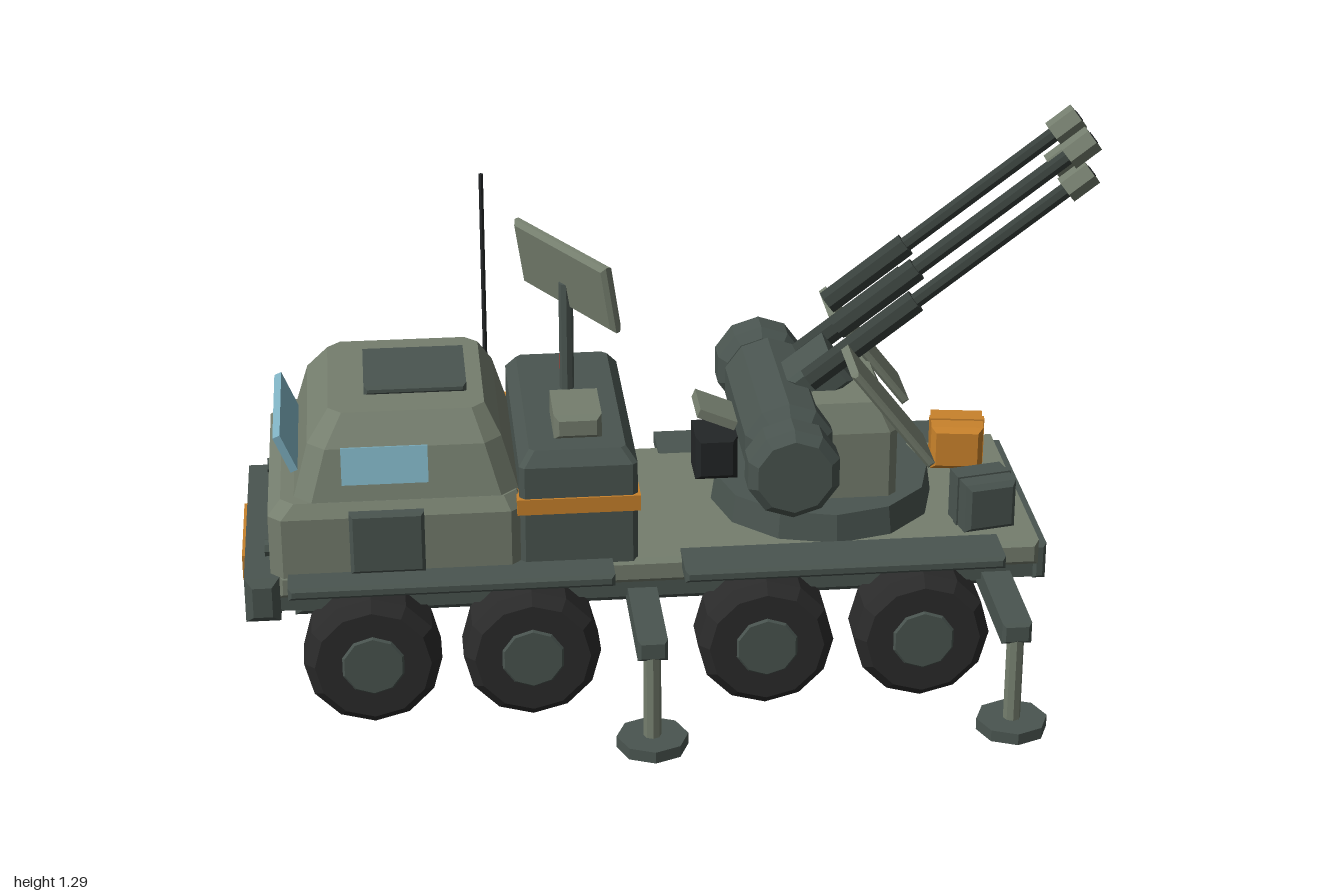
import * as THREE from 'three';

const mat = (name, color) => {
  const m = new THREE.MeshStandardMaterial({ color });
  m.name = name;
  return m;
};

export function createModel() {
  const olive = mat('olive', 0x757e6e), dark = mat('darkGreen', 0x4a5550), gun = mat('gunMetal', 0x38403c);
  const rubber = mat('rubber', 0x2b2b2b), orange = mat('orange', 0xc9822b), glass = mat('glass', 0x7fb2c2);
  const red = mat('red', 0xbb3a30), black = mat('black', 0x232627);
  const model = new THREE.Group();

  // ---- helpers ----
  const add = (name, geo, material, x = 0, y = 0, z = 0, parent = model) => {
    const m = new THREE.Mesh(geo, material);
    m.name = name;
    m.position.set(x, y, z);
    parent.add(m);
    return m;
  };
  const flat = (g) => {
    const f = g.index ? g.toNonIndexed() : g;
    f.computeVertexNormals();
    return f;
  };
  const box = (w, h, d) => new THREE.BoxGeometry(w, h, d);
  const cyl = (r, h, n = 8, r2 = r) => flat(new THREE.CylinderGeometry(r2, r, h, n));
  // box with chamfered edges
  const cbox = (w, h, d, c = 0.012) => {
    const a = w / 2 - c, b = h / 2 - c;
    const s = new THREE.Shape([[-a, -b], [a, -b], [a, b], [-a, b]].map(p => new THREE.Vector2(...p)));
    const g = new THREE.ExtrudeGeometry(s, { depth: d - 2 * c, bevelEnabled: true, bevelSize: c, bevelThickness: c, bevelSegments: 1 });
    return g.translate(0, 0, c - d / 2);
  };
  // thick disc with chamfered rims, axis along z
  const drum = (r, w, c, n) => {
    const p = [[0, -w / 2], [r - c, -w / 2], [r, c - w / 2], [r, w / 2 - c], [r - c, w / 2], [0, w / 2]];
    return flat(new THREE.LatheGeometry(p.map(q => new THREE.Vector2(...q)), n)).rotateX(Math.PI / 2);
  };
  // stack of corner-cut rectangles, each [y, x0, x1, halfZ, cut]
  const loft = (sections) => {
    const rings = sections.map(([y, x0, x1, z, c]) => [
      [x1, y, z - c], [x1, y, c - z], [x1 - c, y, -z], [x0 + c, y, -z],
      [x0, y, c - z], [x0, y, z - c], [x0 + c, y, z], [x1 - c, y, z]]);
    const v = [], last = rings[rings.length - 1];
    for (let k = 0; k + 1 < rings.length; k++) {
      for (let i = 0; i < 8; i++) {
        const j = (i + 1) % 8, a = rings[k], b = rings[k + 1];
        v.push(...a[i], ...a[j], ...b[j], ...a[i], ...b[j], ...b[i]);
      }
    }
    for (let i = 1; i < 7; i++) {
      v.push(...last[0], ...last[i], ...last[i + 1]);
      v.push(...rings[0][0], ...rings[0][i + 1], ...rings[0][i]);
    }
    const g = new THREE.BufferGeometry();
    g.setAttribute('position', new THREE.Float32BufferAttribute(v, 3));
    g.computeVertexNormals();
    return g;
  };

  // ---- chassis ----
  add('chassisFrame', cbox(1.68, 0.07, 0.47, 0.015), dark, -0.04, 0.25, 0);
  add('hull', box(1.78, 0.075, 0.57), dark, -0.05, 0.2975, 0);
  add('deck', cbox(1.76, 0.062, 0.61), olive, -0.035, 0.329, 0);
  add('rearPlate', cbox(0.03, 0.09, 0.585, 0.008), dark, 0.85, 0.302, 0);
  add('frontBumper', cbox(0.08, 0.11, 0.64, 0.018), dark, -0.95, 0.3, 0);
  add('frontPlate', box(0.009, 0.062, 0.28), orange, -0.9945, 0.3, 0);

  // ---- wheels and axles ----
  for (const x of [-0.705, -0.34, 0.2, 0.565]) {
    add('axle', cyl(0.028, 0.5).rotateX(Math.PI / 2), dark, x, 0.18, 0);
    for (const s of [1, -1]) {
      add('tyre', drum(0.158, 0.145, 0.025, 12), rubber, x, 0.158, s * 0.307);
      add('hub', drum(0.077, 0.155, 0.008, 10), dark, x, 0.158, s * 0.307);
    }
  }

  for (const s of [1, -1]) {
    // ---- fenders ----
    add('frontFender', cbox(0.74, 0.03, 0.13, 0.008), dark, -0.52, 0.35, s * 0.322);
    add('rearFender', cbox(0.74, 0.03, 0.13, 0.008), dark, 0.38, 0.35, s * 0.322);
    // ---- outriggers ----
    for (const x of [-0.08, 0.748]) {
      add('outriggerBeam', cbox(0.068, 0.052, 0.34, 0.008), dark, x, 0.252, s * 0.378);
      add('outriggerLeg', cyl(0.02, 0.22), olive, x, 0.13, s * 0.528);
      add('outriggerFoot', cyl(0.082, 0.028), dark, x, 0.014, s * 0.528);
    }
    // ---- lights, doors and side windows ----
    add('tailLight', box(0.014, 0.032, 0.028), red, 0.866, 0.31, s * 0.235);
    add('headlight', cyl(0.02, 0.02).rotateZ(Math.PI / 2), dark, -0.932, 0.39, s * 0.22);
    add('door', cbox(0.17, 0.15, 0.03, 0.008), dark, -0.662, 0.44, s * 0.312);
    add('sideWindow', box(0.196, 0.085, 0.009), glass, -0.662, 0.612, s * 0.273).rotation.x = -s * 0.245;
  }

  // ---- cab ----
  add('cabBase', loft([[0.355, -0.93, -0.35, 0.31, 0.03], [0.5, -0.93, -0.35, 0.31, 0.03], [0.532, -0.9, -0.365, 0.29, 0.03]]), olive);
  add('cabTop', loft([[0.53, -0.87, -0.36, 0.29, 0.04], [0.65, -0.835, -0.395, 0.26, 0.04], [0.715, -0.785, -0.43, 0.205, 0.03]]), olive);
  add('roofHatch', cbox(0.235, 0.024, 0.23, 0.008), dark, -0.585, 0.724, 0);
  add('windscreen', box(0.018, 0.095, 0.36), glass, -0.886, 0.606, 0).rotation.z = 0.4;
  add('antenna', cyl(0.006, 0.465, 6), black, -0.41, 0.8825, -0.235);

  // ---- equipment housing ----
  add('equipmentBox', loft([[0.355, -0.36, -0.09, 0.3, 0.012], [0.6, -0.36, -0.09, 0.3, 0.012], [0.633, -0.335, -0.115, 0.275, 0.012]]), dark);
  add('orangeBand', box(0.282, 0.038, 0.61), orange, -0.225, 0.505, 0);
  add('roofUnit', cbox(0.11, 0.06, 0.165), olive, -0.22, 0.66, 0.14);
  add('beacon', cyl(0.016, 0.04), red, -0.22, 0.65, -0.185);

  // ---- radar ----
  add('radarMast', cyl(0.017, 0.28), dark, -0.225, 0.76, -0.07);
  const radar = new THREE.Group();
  radar.name = 'radar';
  radar.position.set(-0.222, 0.92, -0.07);
  radar.rotation.set(-0.17, 2.08, 0, 'YXZ');
  model.add(radar);
  add('radarPanel', cbox(0.385, 0.168, 0.03, 0.01), olive, 0, 0, 0, radar);
  add('radarFeed', cbox(0.115, 0.045, 0.035, 0.008), dark, 0, 0.005, 0.025, radar);

  // ---- turret ----
  add('turretRing', cyl(0.265, 0.07, 12, 0.255), dark, 0.375, 0.392, 0);
  add('turretBody', loft([[0.42, 0.2, 0.53, 0.165, 0.02], [0.59, 0.2, 0.53, 0.165, 0.02], [0.658, 0.23, 0.5, 0.14, 0.02]]), olive);
  add('trunnion', drum(0.107, 0.44, 0.025, 10), dark, 0.268, 0.58, 0);
  add('gunnerSeat', cbox(0.1, 0.11, 0.12), black, 0.118, 0.49, 0);
  add('seatHood', box(0.095, 0.022, 0.12), olive, 0.118, 0.592, 0).rotation.z = -0.4;
  for (const s of [1, -1]) {
    add('ammoDrum', drum(0.11, 0.108, 0.022, 10), dark, 0.262, 0.575, s * 0.3);
    add('gunShield', cbox(0.3, 0.02, 0.17, 0.006), olive, 0.5, 0.664, s * 0.179).rotation.z = -0.91;

    // stacked twin guns, built along +x then raised
    [0, 0.08].forEach((dy, i) => {
      const g = new THREE.Group();
      g.name = i ? 'upperGun' : 'lowerGun';
      g.position.set(0.345, 0.705 + dy, s * 0.077);
      g.rotation.z = 0.655;
      model.add(g);
      const start = i * 0.08;
      const tube = (name, r, a, b, n, m) => add(name, cyl(r, b - a, n).rotateZ(-Math.PI / 2), m, (a + b) / 2, 0, 0, g);
      tube('receiver', 0.03, start - 0.02, 0.29, 8, gun);
      tube('barrel', 0.019, 0.28, 0.74, 8, gun);
      tube('muzzle', 0.033, 0.718, 0.79, 6, olive);
      tube('bore', 0.015, 0.78, 0.792, 6, black);
    });
  }
  add('gunCradle', cbox(0.12, 0.1, 0.13), dark, 0.36, 0.68, 0).rotation.z = 0.655;

  // ---- strapped crates on the rear deck ----
  const crate = (name, m, z, h, turn) => {
    const g = new THREE.Group();
    g.name = name;
    g.position.set(0.73, 0.36 + h / 2, z);
    g.rotation.y = turn;
    model.add(g);
    add('crateBody', cbox(0.125, h, 0.125), m, 0, 0, 0, g);
    add('crateStrap', box(0.133, h + 0.008, 0.02), m, 0, 0, 0, g);
  };
  crate('darkCrate', dark, 0.178, 0.12, 0.2);
  crate('orangeCrate', orange, -0.155, 0.11, -0.15);

  return model;
}
